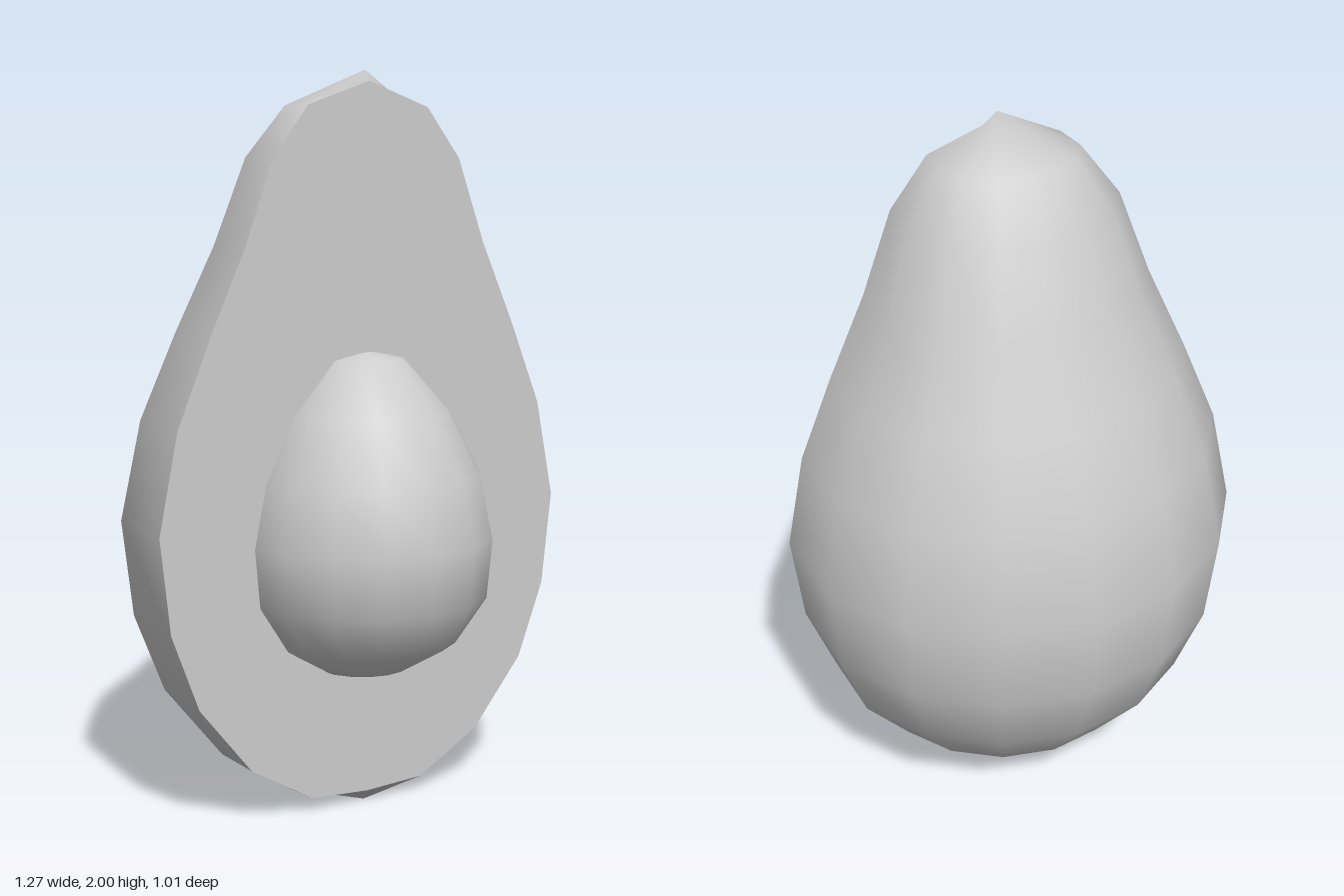
import * as THREE from 'three';

const CUT_Z = 0.175;   // plane of the cut face
const AXIS_Z = 0.155;  // axis of the skin's half-lathe

// Radius and height, bottom to top
const skinProfile = [
  [0, 0], [0.205, 0.04], [0.395, 0.15], [0.55, 0.34], [0.63, 0.55], [0.66, 0.81],
  [0.605, 1.08], [0.51, 1.31], [0.405, 1.54], [0.32, 1.77], [0.215, 1.905], [0, 2],
];
const seedProfile = [
  [0, 0.36], [0.13, 0.383], [0.26, 0.46], [0.345, 0.59], [0.36, 0.75],
  [0.325, 0.92], [0.237, 1.095], [0.113, 1.235], [0, 1.26],
];
const toPoints = (list) => list.map(([r, y]) => new THREE.Vector2(r, y));

// Outline of the cut: slightly inside the skin's widest line, with blunt ends
const rim = skinProfile.map(([r, y]) => (r === 0
  ? [0, y === 0 ? 0.03 : 1.97]
  : [r - 0.027, y]));

// Back half of a lathe whose two end columns are pulled onto the cut outline
function skinGeometry() {
  const segments = 8;
  const rows = skinProfile.length;
  const geo = new THREE.LatheGeometry(toPoints(skinProfile), segments, Math.PI / 2, Math.PI);
  const pos = geo.attributes.position;
  geo.translate(0, 0, AXIS_Z);
  for (let j = 0; j < rows; j++) {
    const [x, y] = rim[j];
    pos.setXYZ(j, x, y, CUT_Z);
    pos.setXYZ(segments * rows + j, -x, y, CUT_Z);
  }
  geo.computeVertexNormals();
  // One shared normal at each pole keeps the ends smooth
  for (let i = 0; i <= segments; i++) {
    geo.attributes.normal.setXYZ(i * rows, 0, -1, 0);
    geo.attributes.normal.setXYZ(i * rows + rows - 1, 0, 1, 0);
  }
  return geo;
}

export function createModel() {
  const group = new THREE.Group();
  group.name = 'halvedFruit';
  const grey = new THREE.MeshStandardMaterial({ color: 0xcccccc });
  grey.name = 'plain grey';

  const add = (name, geometry) => {
    const mesh = new THREE.Mesh(geometry, grey);
    mesh.name = name;
    group.add(mesh);
    return mesh;
  };

  // Rounded skin at the back
  add('skin', skinGeometry());

  // Flat cut face
  const left = rim.slice(1, -1).map(([x, y]) => new THREE.Vector2(-x, y)).reverse();
  const outline = new THREE.Shape([...toPoints(rim), ...left]);
  add('cutFace', new THREE.ShapeGeometry(outline)).position.z = CUT_Z;

  // Half seed standing out of the cut face
  const seed = new THREE.LatheGeometry(toPoints(seedProfile), 8, -Math.PI / 2, Math.PI);
  add('seed', seed).position.z = 0.145;

  return group;
}
